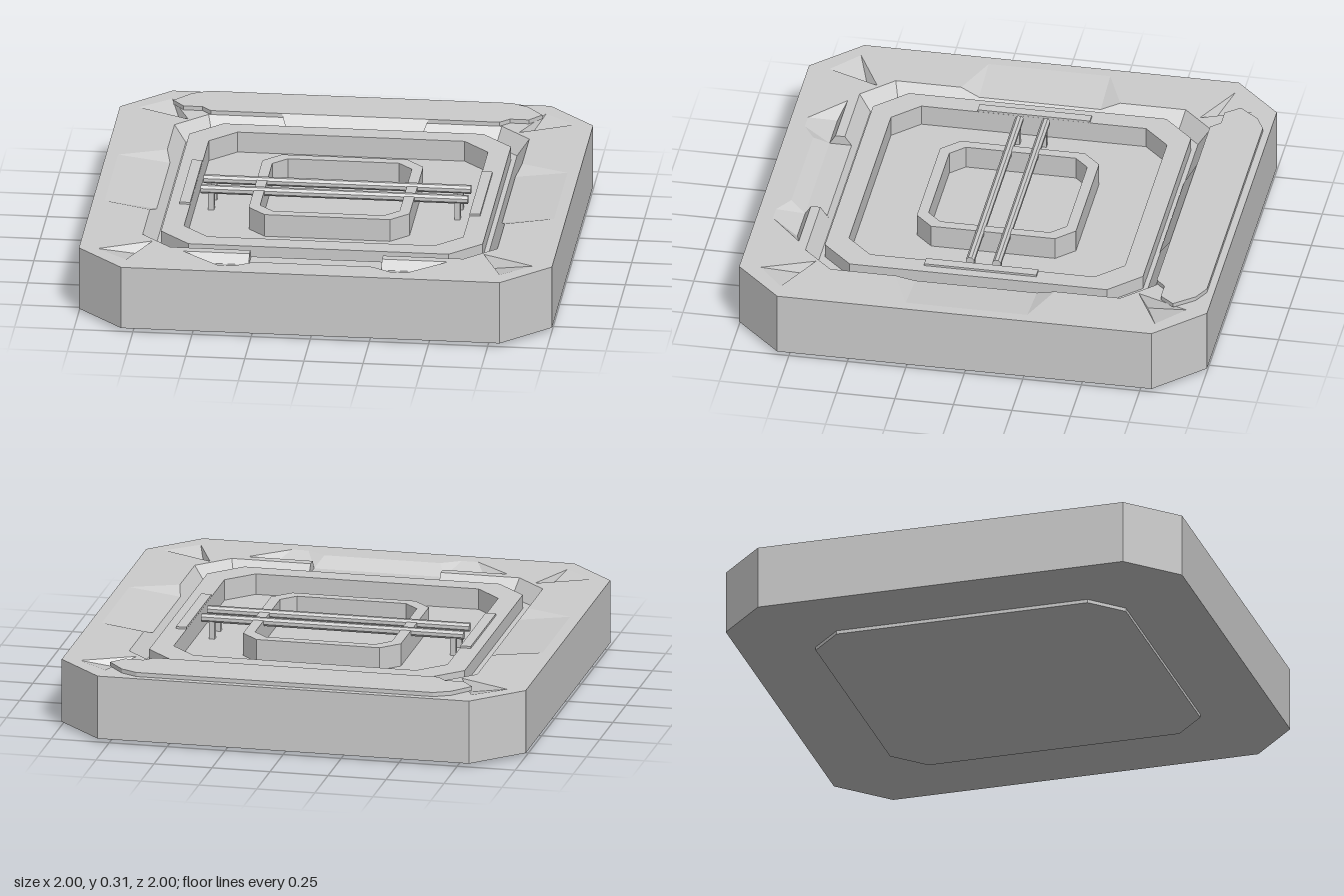
import * as THREE from 'three';

const stone = new THREE.MeshStandardMaterial({ color: 0xcccccc, side: THREE.DoubleSide });
stone.name = 'pale grey stone';

const TOP = 0.29, FLOOR = 0.19, GROOVE = 0.22;

// Chamfered square outline as [x, z]: half width r, corner point at c
const octagon = (r, c) => [[c, r], [r, c], [r, -c], [c, -r], [-c, -r], [-r, -c], [-r, c], [-c, r]];

// Plan shape from [x, z] points; lying flat it faces up
const plan = (pts, holes = []) => {
  const v = (l) => l.map(([x, z]) => new THREE.Vector2(x, -z));
  const s = new THREE.Shape(v(pts));
  holes.forEach((h) => s.holes.push(new THREE.Path(v(h))));
  return s;
};

export function createModel() {
  const group = new THREE.Group();
  const add = (name, geo) => {
    const m = new THREE.Mesh(geo, stone);
    m.name = name;
    group.add(m);
    return m;
  };
  // Upright prism from plan outline between two heights
  const slab = (name, pts, y0, y1, holes) => {
    const g = new THREE.ExtrudeGeometry(plan(pts, holes), { depth: y1 - y0, bevelEnabled: false });
    return add(name, g.rotateX(-Math.PI / 2).translate(0, y0, 0));
  };
  const sheet = (name, pts, y, holes) =>
    add(name, new THREE.ShapeGeometry(plan(pts, holes)).rotateX(-Math.PI / 2).translate(0, y, 0));
  // Flat facets, each a convex loop of [x, y, z] corners
  const facets = (name, loops) => {
    const p = [];
    for (const l of loops)
      for (let i = 1; i < l.length - 1; i++) {
        // wind upward-leaning faces to face up
        const [a, b, c] = [l[0], l[i], l[i + 1]];
        const ny = (b[2] - a[2]) * (c[0] - a[0]) - (b[0] - a[0]) * (c[2] - a[2]);
        p.push(...(ny >= 0 ? [a, b, c] : [a, c, b]).flat());
      }
    const g = new THREE.BufferGeometry();
    g.setAttribute('position', new THREE.Float32BufferAttribute(p, 3));
    g.computeVertexNormals();
    return add(name, g);
  };
  const flip = (loops, sx, sz = 1) => loops.map((l) => l.map(([x, y, z]) => [x * sx, y, z * sz]));

  // Foot and solid base
  const outline = octagon(1, 0.8);
  slab('foot', octagon(0.68, 0.55), 0, 0.02);
  slab('base', outline, 0.015, FLOOR);

  // Outer walls above the base
  const wall = new THREE.BufferGeometry();
  const wp = [];
  outline.forEach(([x, z], i) => {
    const [u, w] = outline[(i + 1) % 8];
    wp.push(x, FLOOR, z, u, FLOOR, w, u, TOP, w, x, FLOOR, z, u, TOP, w, x, TOP, z);
  });
  wall.setAttribute('position', new THREE.Float32BufferAttribute(wp, 3));
  wall.computeVertexNormals();
  add('outerWall', wall);

  // Deck with the basin opening, spillways and corner notches cut out
  const frontHalf = [[0.25, 0.88], [0.33, 0.93], [0.40, 0.93], [0.56, 0.79], [0.28, 0.79], [0.28, 0.75],
    [0.62, 0.75], [0.75, 0.62], [0.75, 0.34], [0.95, 0.26], [0.95, -0.26], [0.75, -0.34], [0.75, -0.62], [0.62, -0.75]];
  const opening = [...frontHalf, ...frontHalf.map(([x, z]) => [-x, z]).reverse()];
  const notch = [[0.92, 0.80], [0.79, 0.91], [0.70, 0.69]];
  const corners = [[1, 1], [1, -1], [-1, 1], [-1, -1]];
  sheet('deck', outline, TOP, [opening, ...corners.map(([sx, sz]) => notch.map(([x, z]) => [x * sx, z * sz]))]);

  // Sunken corner notches
  const [A, B, C] = notch.map(([x, z]) => [x, TOP, z]);
  const low = [0.735, 0.245, 0.735];
  for (const [sx, sz] of corners)
    facets('cornerNotch', flip([[A, B, low], [B, C, low], [C, A, low]], sx, sz));

  // Side spillways
  const rampY = 0.262;
  const sideRamp = [
    [[0.95, TOP, 0.26], [0.95, TOP, -0.26], [0.73, rampY, -0.26], [0.73, rampY, 0.26]],
    [[0.95, TOP, 0.26], [0.75, TOP, 0.34], [0.73, rampY, 0.26]],
    [[0.95, TOP, -0.26], [0.75, TOP, -0.34], [0.73, rampY, -0.26]],
  ];
  for (const s of [1, -1]) facets('sideSpillway', flip(sideRamp, s));

  // Front spillway: central ramp with a tapering trench on each side
  const fy = 0.25;
  facets('frontRamp', [
    [[-0.25, TOP, 0.88], [0.25, TOP, 0.88], [0.28, fy, 0.815], [-0.28, fy, 0.815]],
    [[-0.28, fy, 0.815], [0.28, fy, 0.815], [0.28, fy, 0.721], [-0.28, fy, 0.721]],
  ]);
  const trench = [
    [[0.28, fy, 0.815], [0.25, TOP, 0.88], [0.33, TOP, 0.93], [0.40, TOP, 0.93], [0.46, fy, 0.815]],
    [[0.40, TOP, 0.93], [0.56, TOP, 0.79], [0.46, fy, 0.815]],
    [[0.56, TOP, 0.79], [0.28, TOP, 0.79], [0.28, fy, 0.815], [0.46, fy, 0.815]],
    [[0.28, TOP, 0.79], [0.28, TOP, 0.75], [0.28, fy, 0.721], [0.28, fy, 0.815]],
  ];
  for (const s of [1, -1]) facets('frontTrench', flip(trench, s));

  // Sloping basin rim, from top edge to groove
  const rim = [
    [0, fy, 0.721, 0, 0.70], [0.28, fy, 0.721, 0.28, 0.70], [0.28, TOP, 0.75, 0.28, 0.70],
    [0.62, TOP, 0.75, 0.60, 0.70], [0.75, TOP, 0.62, 0.70, 0.60], [0.75, TOP, 0.34, 0.70, 0.34],
    [0.73, rampY, 0.26, 0.70, 0.26], [0.73, rampY, -0.26, 0.70, -0.26], [0.75, TOP, -0.34, 0.70, -0.34],
    [0.75, TOP, -0.62, 0.70, -0.60], [0.62, TOP, -0.75, 0.60, -0.70], [0, TOP, -0.75, 0, -0.70],
  ];
  const rimFaces = rim.slice(1).map((b, i) => {
    const a = rim[i];
    return [[a[0], a[1], a[2]], [b[0], b[1], b[2]], [b[3], GROOVE, b[4]], [a[3], GROOVE, a[4]]];
  });
  for (const s of [1, -1]) facets('basinRim', flip(rimFaces, s));
  sheet('grooveFloor', octagon(0.70, 0.60), GROOVE, [octagon(0.675, 0.545)]);

  // Basin ring and inner well ring
  slab('basinRing', octagon(0.68, 0.55), FLOOR, 0.28, [octagon(0.59, 0.48)]);
  slab('wellRing', octagon(0.34, 0.265), FLOOR, 0.288, [octagon(0.295, 0.235)]);

  // Raised back plate with a lip running into the groove
  const plate = [[0.64, -0.97], [0.71, -0.935], [0.78, -0.85], [0.73, -0.79], [0.65, -0.79], [0.61, -0.75]];
  slab('backPlate', [...plate, ...plate.map(([x, z]) => [-x, z]).reverse()], TOP, 0.308);
  facets('backLip', [
    [[-0.31, 0.308, -0.75], [0.31, 0.308, -0.75], [0.28, 0.23, -0.70], [-0.28, 0.23, -0.70]],
  ]);

  // Side ledges, crossing bars and their posts
  for (const s of [1, -1]) {
    add('sideLedge', new THREE.BoxGeometry(0.045, 0.03, 0.48)).position.set(s * 0.613, 0.274, 0);
    const bar = add('crossBar', new THREE.CylinderGeometry(0.019, 0.019, 1.13, 8).toNonIndexed());
    bar.geometry.rotateY(Math.PI / 8).rotateZ(Math.PI / 2);
    bar.geometry.computeVertexNormals();
    bar.position.set(0, 0.279, s * 0.057);
    for (const x of [-0.52, 0.52])
      add('barPost', new THREE.BoxGeometry(0.025, 0.09, 0.025)).position.set(x, 0.233, s * 0.057);
  }
  return group;
}
